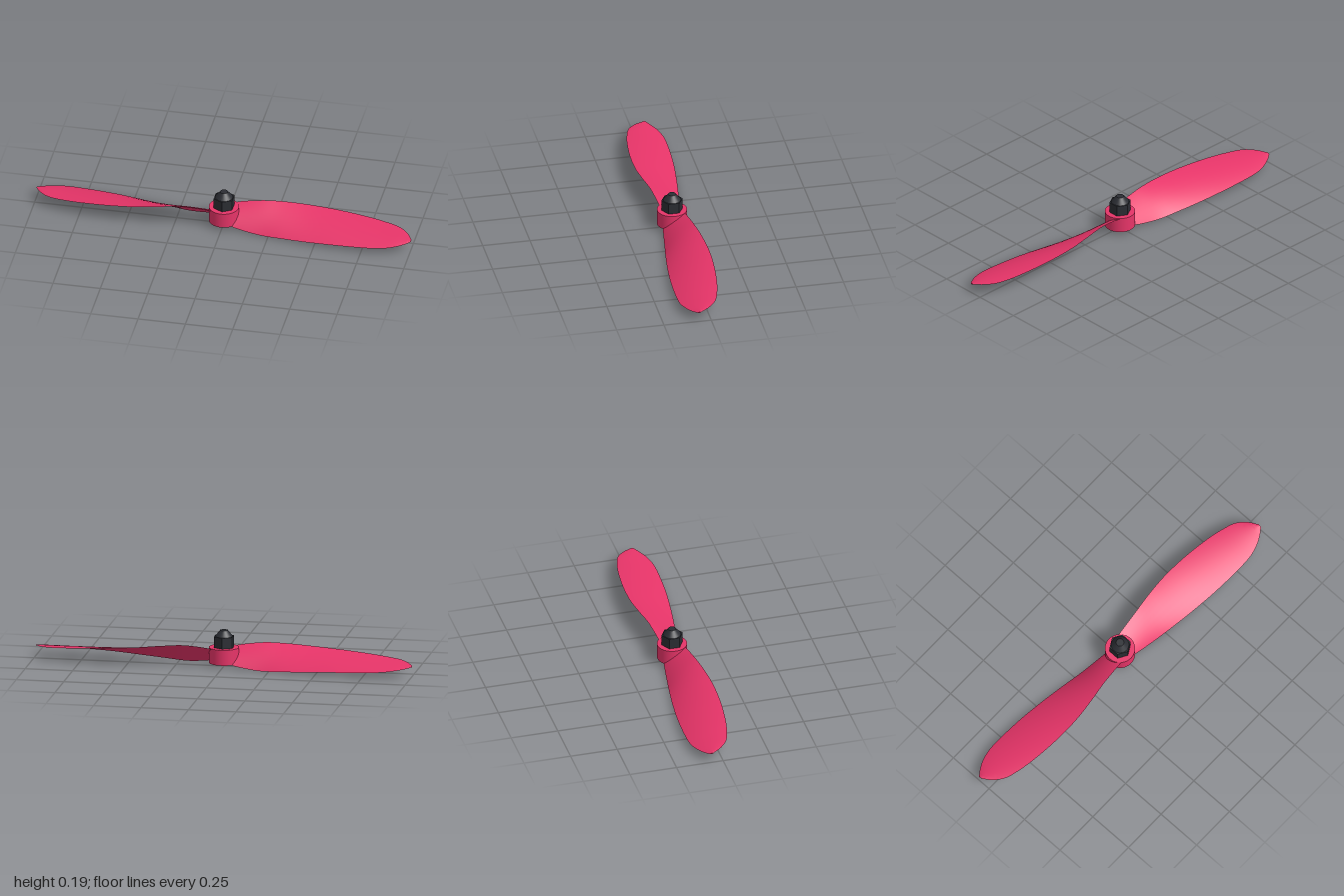
import * as THREE from 'three';
import { toCreasedNormals } from 'three/addons/utils/BufferGeometryUtils.js';

// Blade stations: [x, leading z, leading y, trailing z, trailing y]
const STATIONS = [
  [0.04, -0.055, 0.095, 0.055, 0.025],
  [0.08, -0.060, 0.106, 0.063, 0.014],
  [0.20, -0.073, 0.119, 0.081, 0.001],
  [0.32, -0.090, 0.114, 0.100, 0.006],
  [0.45, -0.101, 0.103, 0.118, 0.013],
  [0.60, -0.098, 0.092, 0.133, 0.022],
  [0.75, -0.082, 0.081, 0.139, 0.029],
  [0.85, -0.062, 0.073, 0.136, 0.034],
  [0.92, -0.038, 0.068, 0.118, 0.041],
  [0.97, 0.005, 0.062, 0.092, 0.047],
  [1.00, 0.052, 0.056, 0.070, 0.053],
];

// Twisted blade: thin cambered lens sections swept between the two edges
function bladeGeometry() {
  const edge = (z, y) => new THREE.CatmullRomCurve3(
    STATIONS.map(s => new THREE.Vector3(s[0], s[y], s[z])), false, 'catmullrom', 0.5);
  const leading = edge(1, 2), trailing = edge(3, 4);
  const rows = 50, half = 10, ring = half * 2;
  const pos = [], index = [];
  for (let i = 0; i <= rows; i++) {
    const t = i / rows;
    const a = leading.getPoint(t), b = trailing.getPoint(t);
    const chord = b.clone().sub(a);
    const len = chord.length();
    const up = new THREE.Vector3(0, chord.z, -chord.y).normalize();
    const thick = Math.min(0.012 - 0.006 * t, len * 0.3);
    for (let j = 0; j < ring; j++) {
      const upper = j <= half;
      const u = (1 - Math.cos(Math.PI * (upper ? j : ring - j) / half)) / 2;
      const bulge = 4 * u * (1 - u);
      const h = bulge * (0.03 * len + (upper ? 0.5 : -0.5) * thick);
      const p = a.clone().addScaledVector(chord, u).addScaledVector(up, h);
      pos.push(p.x, p.y, p.z);
    }
  }
  for (let i = 0; i < rows; i++) {
    for (let j = 0; j < ring; j++) {
      const k = (j + 1) % ring;
      const p = i * ring + j, q = i * ring + k;
      index.push(p, q, p + ring, q, q + ring, p + ring);
    }
  }
  // End caps
  const last = rows * ring;
  for (let j = 1; j < ring - 1; j++) {
    index.push(0, j + 1, j, last, last + j, last + j + 1);
  }
  const g = new THREE.BufferGeometry();
  g.setAttribute('position', new THREE.Float32BufferAttribute(pos, 3));
  g.setIndex(index);
  return toCreasedNormals(g, Math.PI / 4);
}

export function createModel() {
  const model = new THREE.Group();
  model.name = 'propeller';
  const pink = new THREE.MeshStandardMaterial({ color: 0xe63468 });
  pink.name = 'pink plastic';
  const dark = new THREE.MeshStandardMaterial({ color: 0x2b2d33 });
  dark.name = 'dark metal';

  const add = (name, geometry, material, y = 0) => {
    const mesh = new THREE.Mesh(geometry, material);
    mesh.name = name;
    mesh.position.y = y;
    model.add(mesh);
    return mesh;
  };

  // Hub
  add('hub', new THREE.CylinderGeometry(0.078, 0.078, 0.082, 48), pink, 0.061);

  // Two blades, half a turn apart
  const blade = bladeGeometry();
  ['leftBlade', 'rightBlade'].forEach((name, i) => {
    add(name, blade, pink).rotation.y = i * Math.PI;
  });

  // Hexagonal nut with a tapered cap
  const nut = new THREE.CylinderGeometry(0.056, 0.056, 0.06, 6);
  add('nut', toCreasedNormals(nut, 0.5), dark, 0.13);
  add('nutCap', new THREE.CylinderGeometry(0.0205, 0.0465, 0.033, 32), dark, 0.1755);
  return model;
}
